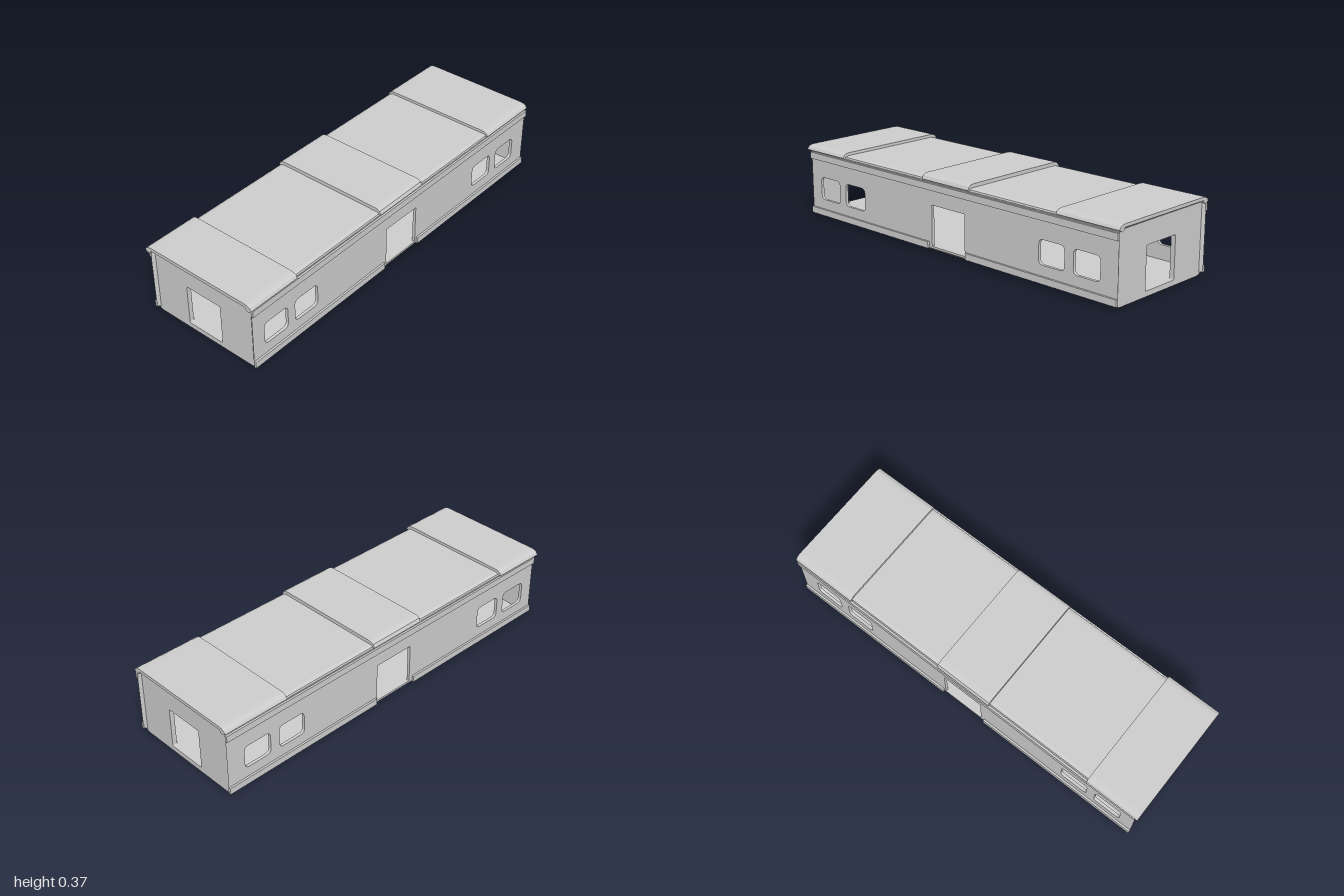
import * as THREE from 'three';

const grey = new THREE.MeshStandardMaterial({ color: 0xcccccc, flatShading: true });
const FRONT = 0.985, BACK = -0.995, MID = (FRONT + BACK) / 2;
const RECESS = 0.012; // end walls sit this far behind the side wall tips

// Closed outline from points
const outline = (pts) => new THREE.Shape(pts.map(([x, y]) => new THREE.Vector2(x, y)));

// Symmetric outline from its right half, listed bottom to top
const mirrored = (half) => outline([...half, ...half.map(([x, y]) => [-x, y]).reverse()]);

// Rectangular opening with rounded corners
function opening(x0, x1, y0, y1, r) {
  const p = new THREE.Path();
  p.moveTo(x0 + r, y0);
  p.lineTo(x1 - r, y0);
  p.quadraticCurveTo(x1, y0, x1, y0 + r);
  p.lineTo(x1, y1 - r);
  p.quadraticCurveTo(x1, y1, x1 - r, y1);
  p.lineTo(x0 + r, y1);
  p.quadraticCurveTo(x0, y1, x0, y1 - r);
  p.lineTo(x0, y0 + r);
  p.quadraticCurveTo(x0, y0, x0 + r, y0);
  return p;
}

// Extrude an x-y section between two z positions
function extrudeZ(shape, z0, z1) {
  const g = new THREE.ExtrudeGeometry(shape, { depth: z1 - z0, bevelEnabled: false, curveSegments: 5 });
  return g.translate(0, 0, z0);
}

export function createModel() {
  const model = new THREE.Group();
  const add = (name, geometry, parent = model) => {
    const m = new THREE.Mesh(geometry, grey);
    m.name = name;
    parent.add(m);
    return m;
  };

  // Floor slab with chamfered lower edges
  const sill = [[0.275, 0], [0.288, 0.005], [0.298, 0.015]];
  add('floor', extrudeZ(mirrored([...sill, [0.285, 0.025]]), BACK + 0.035, FRONT - 0.035));

  // End walls with a central doorway
  const endShape = mirrored([...sill, [0.285, 0.025], [0.285, 0.337]]);
  endShape.holes.push(opening(-0.1, 0.1, 0.025, 0.23, 0.008));
  add('frontWall', extrudeZ(endShape, FRONT - 0.035, FRONT - RECESS));
  add('backWall', extrudeZ(endShape, BACK + RECESS, BACK + 0.035));

  // Side walls: drawn in (-z, y), with four windows and a door
  const sideShape = outline([[-FRONT, 0.015], [-BACK, 0.015], [-BACK, 0.335], [-FRONT, 0.335]]);
  for (const [z0, z1] of [[0.77, 0.915], [0.58, 0.725], [-0.705, -0.56], [-0.9, -0.755]]) {
    sideShape.holes.push(opening(-z1, -z0, 0.095, 0.21, 0.025));
  }
  sideShape.holes.push(opening(-0.105, 0.11, 0.025, 0.225, 0.003));

  for (const side of [1, -1]) {
    const group = new THREE.Group();
    group.name = side > 0 ? 'leftSide' : 'rightSide';
    model.add(group);

    const wall = extrudeZ(sideShape, 0, 0.015).rotateY(Math.PI / 2);
    wall.translate(side > 0 ? 0.285 : -0.3, 0, 0);
    // Taper the inner face at both ends
    const p = wall.attributes.position;
    for (let i = 0; i < p.count; i++) {
      const dz = p.getZ(i) - MID;
      if (Math.abs(p.getX(i)) < 0.29 && Math.abs(dz) > 0.98) p.setZ(i, p.getZ(i) - Math.sign(dz) * RECESS);
    }
    wall.computeVertexNormals();
    add('sideWall', wall, group);

    // Trim rails; the lower one is broken by the door
    const rail = (name, y0, y1, z0, z1) => {
      const g = new THREE.BoxGeometry(0.012, y1 - y0, z1 - z0);
      add(name, g.translate(side * 0.304, (y0 + y1) / 2, (z0 + z1) / 2), group);
    };
    rail('upperRail', 0.297, 0.33, BACK, FRONT);
    rail('lowerRailFront', 0.013, 0.045, 0.125, FRONT);
    rail('lowerRailBack', 0.013, 0.045, BACK, -0.12);
  }

  // Main roof, its ends sloping back underneath
  const roof = extrudeZ(mirrored([[0.288, 0.333], [0.3, 0.337], [0.297, 0.345], [0.28, 0.35]]), BACK, FRONT + 0.01);
  const rp = roof.attributes.position;
  for (let i = 0; i < rp.count; i++) {
    if (rp.getY(i) < 0.34) rp.setZ(i, rp.getZ(i) * 0.985);
  }
  roof.computeVertexNormals();
  add('roof', roof);

  // Raised roof panels with lips hanging over the sides
  const panel = (name, w, top, z0, z1) => {
    const shape = mirrored([
      [0, 0.348], [w - 0.035, 0.348], [w - 0.033, 0.337], [w - 0.019, 0.331], [w, 0.342],
      [w - 0.008, top - 0.01], [w - 0.022, top - 0.002], [w - 0.04, top],
    ].slice(1));
    add(name, extrudeZ(shape, z0, z1));
  };
  panel('frontRoofPanel', 0.315, 0.365, 0.72, 1);
  panel('middleRoofPanel', 0.308, 0.368, -0.14, 0.16);
  panel('backRoofPanel', 0.308, 0.364, -1, -0.66);

  return model;
}
